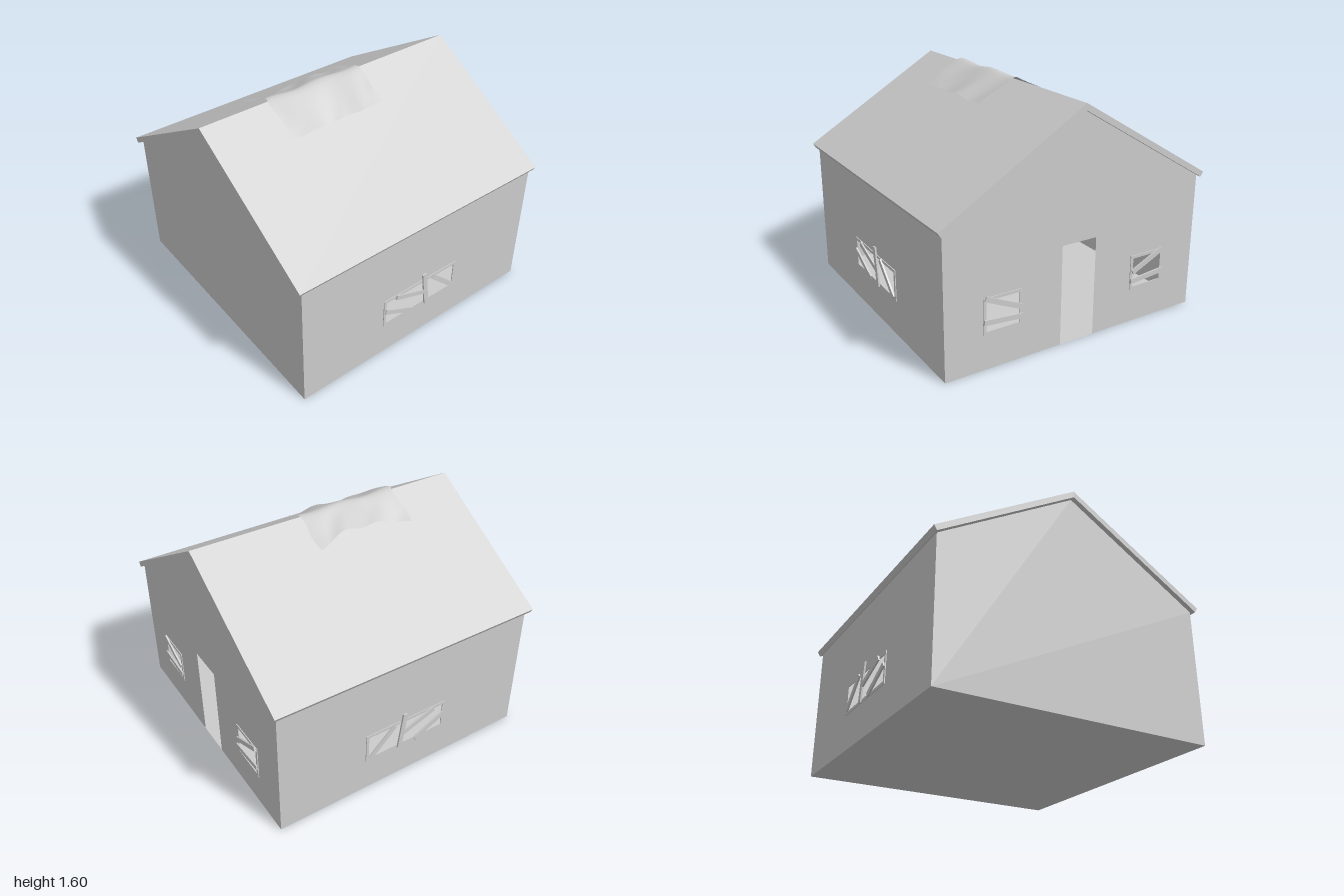
import * as THREE from 'three';

const mat = new THREE.MeshStandardMaterial({ color: 0xcccccc, side: THREE.DoubleSide });
const HALF = 0.965, EAVE = 0.954, APEX = 1.533;

function mesh(name, geometry, parent) {
  const m = new THREE.Mesh(geometry, mat);
  m.name = name;
  parent.add(m);
  return m;
}

const polygon = (points) => new THREE.Shape(points.map(([x, y]) => new THREE.Vector2(x, y)));

// Rectangle given by its centre and size
function rect(cx, cy, w, h) {
  const x = w / 2, y = h / 2;
  return polygon([[cx - x, cy - y], [cx + x, cy - y], [cx + x, cy + y], [cx - x, cy + y]]);
}

// A thin surround and the planks nailed across it; local z points out of the wall
function boardedWindow(opening, planks, flip, parent) {
  const [cx, cy, w, h] = opening;
  const group = new THREE.Group();
  group.name = 'boardedWindow';
  const surround = rect(cx, cy, w + 0.04, h + 0.04);
  surround.holes.push(rect(cx, cy, w, h));
  mesh('windowSurround', new THREE.ExtrudeGeometry(surround, { depth: 0.006, bevelEnabled: false }), group);
  for (const [x1, y1, x2, y2] of planks) {
    const length = Math.hypot(x2 - x1, y2 - y1);
    const plank = mesh('plank', new THREE.BoxGeometry(length, 0.034, 0.012), group);
    plank.position.set(flip * (x1 + x2) / 2, (y1 + y2) / 2, 0.011);
    plank.rotation.z = Math.atan2(y2 - y1, flip * (x2 - x1));
  }
  parent.add(group);
}

// Wall standing HALF away from the centre, turned to face outwards
function wall(name, shape, holes, turn, root) {
  const group = new THREE.Group();
  group.name = name;
  shape.holes.push(...holes);
  mesh(name + 'Panel', new THREE.ShapeGeometry(shape), group);
  group.rotation.y = turn;
  group.position.set(Math.sin(turn) * HALF, 0, Math.cos(turn) * HALF);
  root.add(group);
  return group;
}

// Loose cloth draped over the ridge, following the roof slope with ripples
function clothGeometry() {
  const geo = new THREE.PlaneGeometry(1, 1, 36, 28);
  const pos = geo.attributes.position;
  for (let i = 0; i < pos.count; i++) {
    const u = pos.getX(i) + 0.5, t = -2 * pos.getY(i);
    const front = 0.275 + 0.007 * Math.sin(u * 13);
    const back = 0.2 + 0.065 * Math.pow(Math.abs(2 * u - 1), 3) + 0.006 * Math.sin(u * 15);
    const z = t > 0 ? t * front : t * back;
    const x = -0.515 + 0.73 * u + 0.008 * Math.sin(t * 7) * (2 * u - 1);
    const ripple = 0.008 * Math.sin(u * 11 + 1.4) + 0.007 * Math.sin(u * 17 + t * 4) * Math.abs(t);
    const lift = 0.026 + (t < 0 ? 0.02 * t * t * u : 0.006 * t);
    const slope = 0.6 * (Math.sqrt(z * z + 0.0004) - 0.01);
    pos.setXYZ(i, x, 1.572 - slope + lift + ripple, z);
  }
  geo.computeVertexNormals();
  return geo;
}

export function createModel() {
  const root = new THREE.Group();
  root.name = 'abandonedHouse';

  // Floor
  const floor = mesh('floor', new THREE.PlaneGeometry(2 * HALF, 2 * HALF), root);
  floor.rotation.x = -Math.PI / 2;

  // Long walls, each with one wide boarded window
  const wide = [0, 0.36, 0.6, 0.18];
  const widePlanks = [
    [-0.31, 0.38, -0.07, 0.26],
    [-0.22, 0.457, 0.03, 0.365],
    [0.02, 0.525, 0.055, 0.25],
    [0.1, 0.46, 0.295, 0.272],
  ];
  for (const [name, turn, flip] of [['frontWall', 0, 1], ['backWall', Math.PI, -1]]) {
    const side = wall(name, rect(0, EAVE / 2, 2 * HALF, EAVE), [rect(...wide)], turn, root);
    boardedWindow(wide, widePlanks, flip, side);
  }

  // Gable walls: one with a doorway and two small windows, one blank
  const gable = () => polygon([[-HALF, 0], [HALF, 0], [HALF, EAVE], [0, APEX], [-HALF, EAVE]]);
  const small = (s) => [s * 0.565, 0.363, 0.235, 0.205];
  const smallPlanks = [
    [0.69, 0.485, 0.44, 0.37],
    [0.7, 0.328, 0.43, 0.305],
  ];
  // The doorway is cut into the outline, down to the ground
  const doorGable = polygon([
    [-HALF, 0], [-0.13, 0], [-0.13, 0.69], [0.13, 0.69], [0.13, 0],
    [HALF, 0], [HALF, EAVE], [0, APEX], [-HALF, EAVE],
  ]);
  const doorWall = wall('doorWall', doorGable, [rect(...small(1)), rect(...small(-1))], Math.PI / 2, root);
  for (const s of [1, -1]) boardedWindow(small(s), smallPlanks, s, doorWall);
  wall('blankWall', gable(), [], -Math.PI / 2, root);

  // Roof: a bent slab running the length of the house
  const section = polygon([
    [-1, 0.978], [-0.98, 0.945], [0, APEX], [0.98, 0.945], [1, 0.978], [0, 1.578],
  ]);
  const roof = mesh('roof', new THREE.ExtrudeGeometry(section, { depth: 1.99, bevelEnabled: false }), root);
  roof.rotation.y = Math.PI / 2;
  roof.position.x = -1;

  // Cloth over the ridge
  mesh('roofCloth', clothGeometry(), root);

  return root;
}
